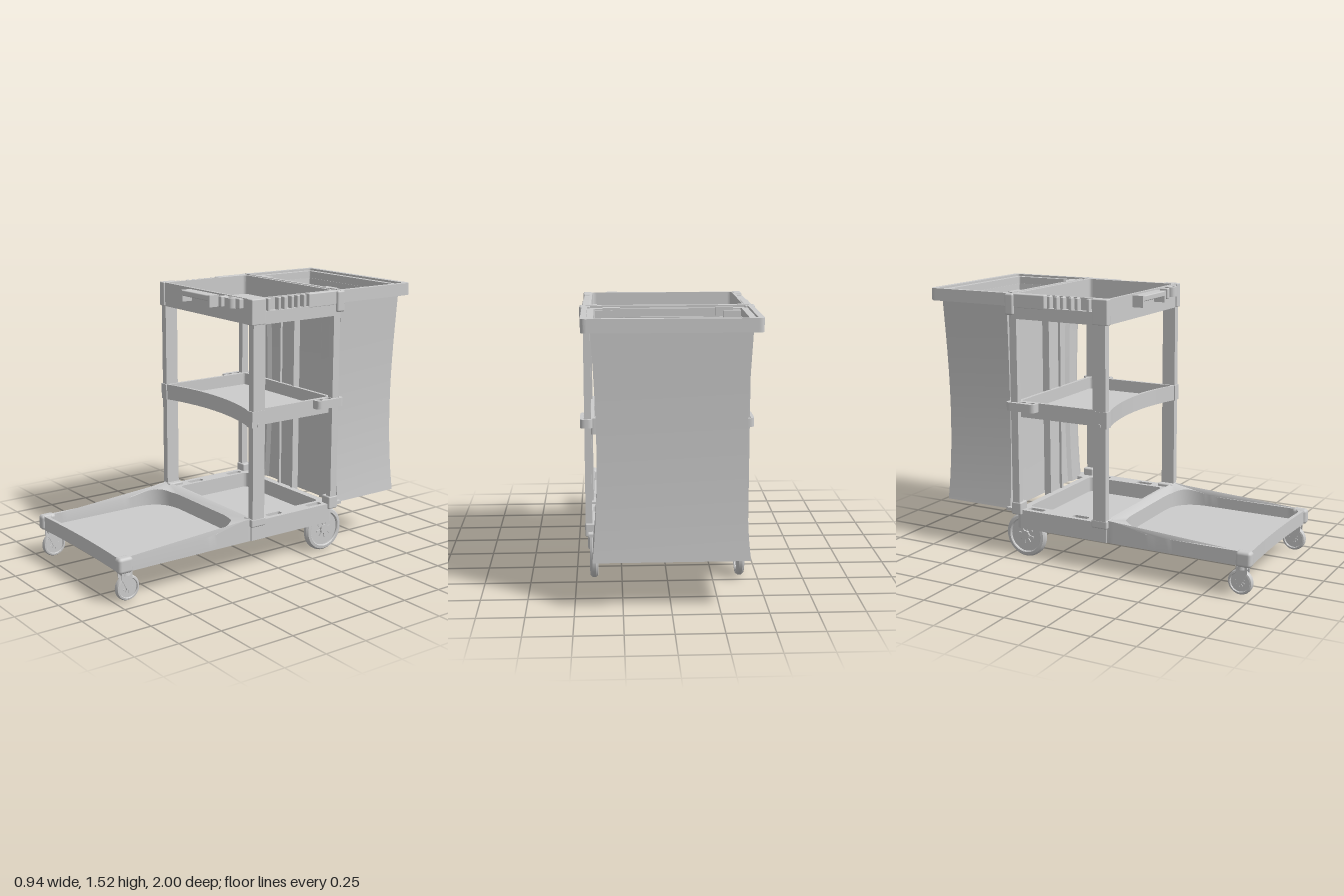
import * as THREE from 'three';
import { toCreasedNormals } from 'three/addons/utils/BufferGeometryUtils.js';
import { RoundedBoxGeometry } from 'three/addons/geometries/RoundedBoxGeometry.js';

const mat = new THREE.MeshStandardMaterial({ color: 0xcccccc, side: THREE.DoubleSide });

export function createModel() {
  const root = new THREE.Group();

  const add = (name, geo, parent = root) => {
    const m = new THREE.Mesh(geo, mat);
    m.name = name;
    parent.add(m);
    return m;
  };
  // Box given by its limits on each axis
  const box = (name, x0, x1, y0, y1, z0, z1, r = 0) => {
    const size = [Math.abs(x1 - x0), y1 - y0, Math.abs(z1 - z0)];
    const g = r ? new RoundedBoxGeometry(...size, 2, r) : new THREE.BoxGeometry(...size);
    return add(name, g.translate((x0 + x1) / 2, (y0 + y1) / 2, (z0 + z1) / 2));
  };
  // Same box on both sides
  const pair = (name, x0, x1, ...rest) => {
    box(name + 'Left', x0, x1, ...rest);
    box(name + 'Right', -x1, -x0, ...rest);
  };
  // Plan outline (shape y = -z): rounded rectangle with front and back radii, bowed front edge
  const plan = (x0, x1, zb, zf, rf = 0.01, rb = rf, bow = 0, Type = THREE.Shape) => {
    const s = new Type(), xm = (x0 + x1) / 2;
    s.moveTo(x0 + rf, -zf);
    s.quadraticCurveTo(xm, -zf + 2 * bow, x1 - rf, -zf);
    s.quadraticCurveTo(x1, -zf, x1, -zf + rf);
    s.lineTo(x1, -zb - rb);
    s.quadraticCurveTo(x1, -zb, x1 - rb, -zb);
    s.lineTo(x0 + rb, -zb);
    s.quadraticCurveTo(x0, -zb, x0, -zb - rb);
    s.lineTo(x0, -zf + rf);
    s.quadraticCurveTo(x0, -zf, x0 + rf, -zf);
    return s;
  };
  const hole = (...a) => plan(a[0], a[1], a[2], a[3], a[4], a[5], a[6], THREE.Path);
  // Upright prism from a plan outline with holes
  const prism = (shape, holes, y0, y1) => {
    shape.holes.push(...holes);
    return new THREE.ExtrudeGeometry(shape, { depth: y1 - y0, bevelEnabled: false, curveSegments: 10 })
      .rotateX(-Math.PI / 2).translate(0, y0, 0);
  };

  // ---- Base: front platform whose rim sweeps up towards the posts
  const dense = (path, n) => path.getSpacedPoints(n);
  const outer = new THREE.Shape(dense(plan(-0.43, 0.43, 0.13, 0.985, 0.03, 0.005, 0.012), 140));
  const inner = new THREE.Path(dense(hole(-0.412, 0.412, 0.18, 0.962, 0.07, 0.2, 0.012), 140));
  const rim = prism(outer, [inner], 0.17, 0.25);
  const p = rim.attributes.position;
  for (let i = 0; i < p.count; i++) {
    if (p.getY(i) < 0.2) continue;
    const rise = 1 - THREE.MathUtils.smoothstep(p.getZ(i), 0.14, 0.45);
    const side = THREE.MathUtils.smoothstep(Math.abs(p.getX(i)), 0.28, 0.4);
    p.setY(i, 0.25 + rise * (0.025 + 0.022 * side));
  }
  rim.deleteAttribute('normal');
  add('platformRim', toCreasedNormals(rim, 0.6));
  add('platformFloor', prism(plan(-0.42, 0.42, 0.13, 0.97, 0.03, 0.01, 0.012), [], 0.171, 0.186));
  pair('cornerBumper', 0.395, 0.45, 0.168, 0.255, 0.91, 0.998, 0.018);

  // ---- Base: rear well with slotted side rails
  const slots = [];
  for (const s of [-1, 1])
    for (const z of [-0.05, -0.34]) slots.push(hole(s * 0.39 - 0.018, s * 0.39 + 0.018, z - 0.05, z + 0.05, 0.012));
  add('rearFrame', prism(plan(-0.435, 0.435, -0.45, 0.14, 0.006, 0.03),
    [hole(-0.35, 0.35, -0.41, 0.09, 0.03), ...slots], 0.17, 0.28));
  add('rearFloor', prism(plan(-0.42, 0.42, -0.44, 0.13), [], 0.172, 0.19));
  pair('bagLedge', 0.33, 0.43, 0.262, 0.28, -0.52, -0.43);
  box('axleHousing', -0.37, 0.37, 0.107, 0.175, -0.45, -0.35, 0.012);
  box('axleCover', -0.365, 0.365, 0.13, 0.2, -0.47, -0.44, 0.01);

  // ---- Posts with their feet, bolts and the rear column
  pair('frontPost', 0.408, 0.448, 0.27, 1.39, 0.062, 0.142);
  pair('rearPost', 0.41, 0.446, 0.27, 1.46, -0.465, -0.42);
  pair('frontPostFoot', 0.375, 0.449, 0.25, 0.298, 0.05, 0.148, 0.008);
  pair('rearPostFoot', 0.38, 0.449, 0.25, 0.325, -0.475, -0.41, 0.008);
  for (const s of [-1, 1])
    add('postBolt', new THREE.CylinderGeometry(0.012, 0.012, 0.01, 16).rotateZ(Math.PI / 2)
      .translate(s * 0.45, 0.83, 0.105));
  box('rearColumn', -0.07, 0.07, 0.12, 1.4, -0.485, -0.455);
  pair('columnFlange', 0.055, 0.072, 0.28, 1.4, -0.46, -0.44);

  // ---- Middle shelf with a bowed front and side holders
  add('shelfRim', prism(plan(-0.415, 0.415, -0.45, 0.145, 0.008, 0.02, 0.065),
    [hole(-0.395, 0.395, -0.43, 0.125, 0.02, 0.02, 0.065)], 0.82, 0.91));
  add('shelfFloor', prism(plan(-0.405, 0.405, -0.44, 0.135, 0.01, 0.02, 0.065), [], 0.822, 0.84));
  pair('shelfCollar', 0.4, 0.45, 0.82, 0.91, 0.065, 0.15);
  for (const s of [-1, 1]) {
    const cx = s * 0.435;
    add('sideHolder', prism(plan(cx - 0.034, cx + 0.034, -0.49, -0.3, 0.03),
      [-0.455, -0.395, -0.335].map(z => hole(cx - 0.016, cx + 0.016, z - 0.018, z + 0.018, 0.012)), 0.862, 0.91));
  }

  // ---- Top tray
  const trayHole = () => hole(-0.4, 0.4, -0.435, 0.13, 0.025);
  add('trayBody', prism(plan(-0.448, 0.448, -0.46, 0.146), [trayHole()], 1.38, 1.45));
  add('trayWall', prism(plan(-0.414, 0.414, -0.455, 0.146), [trayHole()], 1.45, 1.518));
  add('trayFloor', prism(plan(-0.41, 0.41, -0.45, 0.14), [], 1.384, 1.405));
  pair('trayFrontCorner', 0.405, 0.45, 1.38, 1.52, 0.06, 0.155, 0.006);
  pair('trayRearCorner', 0.405, 0.449, 1.44, 1.52, -0.5, -0.235, 0.006);
  for (const z of [0.035, -0.035, -0.075, -0.125, -0.165, -0.21])
    pair('toolHolderTooth', 0.41, 0.446, 1.44, 1.517, z - 0.01, z + 0.01, 0.005);
  pair('sideClip', 0.44, 0.463, 1.4, 1.52, -0.485, -0.43, 0.011);

  // Front handle, ring hook and hook block
  box('handleTop', -0.14, 0.135, 1.478, 1.51, 0.19, 0.212, 0.006);
  for (const x of [-0.135, 0.13]) box('handleArm', x - 0.009, x + 0.009, 1.445, 1.51, 0.14, 0.212);
  box('handleShelf', -0.13, 0.125, 1.49, 1.51, 0.14, 0.2);
  box('hookBlock', 0.26, 0.36, 1.46, 1.515, 0.14, 0.172, 0.005);
  add('hookRing', prism(plan(0.255, 0.325, 0.14, 0.205, 0.03), [hole(0.27, 0.31, 0.152, 0.192, 0.018)], 1.46, 1.515));
  box('hookPeg', 0.195, 0.225, 1.455, 1.515, 0.14, 0.195, 0.006);

  // ---- Bag frame behind the tray
  add('bagFrameSkirt', prism(plan(-0.449, 0.449, -0.997, -0.46, 0.008, 0.03),
    [hole(-0.42, 0.42, -0.965, -0.485, 0.01, 0.02)], 1.45, 1.52));
  add('bagFrameTop', prism(plan(-0.43, 0.43, -0.975, -0.47, 0.01, 0.02),
    [hole(-0.386, 0.386, -0.935, -0.515, 0.01)], 1.455, 1.508));
  pair('hingeLug', 0.37, 0.43, 1.5, 1.524, -0.475, -0.452);
  pair('bagClip', 0.25, 0.34, 1.47, 1.515, -0.535, -0.505);
  pair('bagClipStep', 0.29, 0.38, 1.45, 1.5, -0.55, -0.515);

  // ---- Bag: pinched, pleated at the front, lofted outside then inside
  const pleats = [[-1, -0.02], [-0.88, 0], [-0.66, 0], [-0.6, -0.018], [-0.25, -0.018],
    [0.25, -0.018], [0.6, -0.018], [0.66, 0], [0.88, 0], [1, -0.02]];
  const section = (y, hx, zf, zb, k) => [
    ...pleats.map(([t, d]) => [t * hx, y, zf + d * k]), [hx, y, zb], [-hx, y, zb]];
  const rings = [], N = 12;
  for (let i = 0; i <= N; i++) {
    const t = i / N, s = Math.sin(Math.PI * Math.pow(t, 0.85));
    rings.push(section(0.265 + 1.2 * t, 0.405 - 0.004 * t - 0.026 * s, -0.49 - 0.006 * s, -0.948 + 0.016 * s, 1));
  }
  for (let i = N; i >= 0; i--) {
    const t = i / N, e = t * t;
    rings.push(section(0.275 + 1.19 * t, 0.345 + 0.04 * e, -0.525, -0.907 - 0.025 * e, 0.3));
  }
  const n = rings[0].length, pos = rings.flat(2), idx = [];
  for (let r = 0; r < rings.length - 1; r++)
    for (let i = 0; i < n; i++) {
      const a = r * n + i, b = r * n + (i + 1) % n;
      idx.push(a, b, b + n, a, b + n, a + n);
    }
  // Closed bottom, outside and inside
  const last = (rings.length - 1) * n, c = pos.length / 3;
  pos.push(0, 0.265, -0.72, 0, 0.275, -0.72);
  for (let i = 0; i < n; i++) {
    const j = (i + 1) % n;
    idx.push(c, j, i, c + 1, last + i, last + j);
  }
  const bag = new THREE.BufferGeometry();
  bag.setAttribute('position', new THREE.Float32BufferAttribute(pos, 3));
  bag.setIndex(idx);
  add('bag', toCreasedNormals(bag, 0.4));

  // ---- Wheels: lathed tyre, dished disc, hub and spokes
  const wheel = (name, r, w, x, y, z) => {
    const g = new THREE.Group();
    g.name = name;
    const tyre = [[0.76, -0.4], [0.8, -0.5], [0.93, -0.45], [1, -0.2], [1, 0.2], [0.93, 0.45], [0.8, 0.5], [0.76, 0.4], [0.76, -0.4]]
      .map(([a, b]) => new THREE.Vector2(a * r, b * w));
    add('tyre', toCreasedNormals(new THREE.LatheGeometry(tyre, 36).rotateZ(Math.PI / 2), 0.6), g);
    add('disc', new THREE.CylinderGeometry(r * 0.78, r * 0.78, w * 0.45, 36).rotateZ(Math.PI / 2), g);
    add('hub', new THREE.CylinderGeometry(r * 0.2, r * 0.2, w * 1.05, 20).rotateZ(Math.PI / 2), g);
    for (let i = 0; i < 4; i++)
      add('spoke', new THREE.BoxGeometry(w * 0.75, r * 0.8, r * 0.07).rotateX(i * Math.PI / 4 + 0.2), g);
    g.position.set(x, y, z);
    root.add(g);
  };
  for (const s of [-1, 1]) {
    wheel('rearWheel', 0.128, 0.046, s * 0.402, 0.128, -0.4);
    wheel('frontWheel', 0.07, 0.034, s * 0.405, 0.076, 0.928);
    // Caster fork: tapering cheeks under a swivel plate
    const fork = new THREE.Shape();
    fork.moveTo(-0.97, 0.165); fork.lineTo(-0.905, 0.165); fork.lineTo(-0.912, 0.07);
    fork.quadraticCurveTo(-0.928, 0.055, -0.94, 0.07); fork.lineTo(-0.97, 0.13);
    for (const d of [-0.021, 0.017])
      add('casterFork', new THREE.ExtrudeGeometry(fork, { depth: 0.004, bevelEnabled: false })
        .rotateY(Math.PI / 2).translate(s * 0.405 + d, 0, 0));
    add('casterSwivel', new THREE.CylinderGeometry(0.026, 0.03, 0.022, 20).translate(s * 0.405, 0.16, 0.937));
    add('axleStub', new THREE.CylinderGeometry(0.014, 0.014, 0.1, 16).rotateZ(Math.PI / 2).translate(s * 0.36, 0.128, -0.4));
  }
  return root;
}
